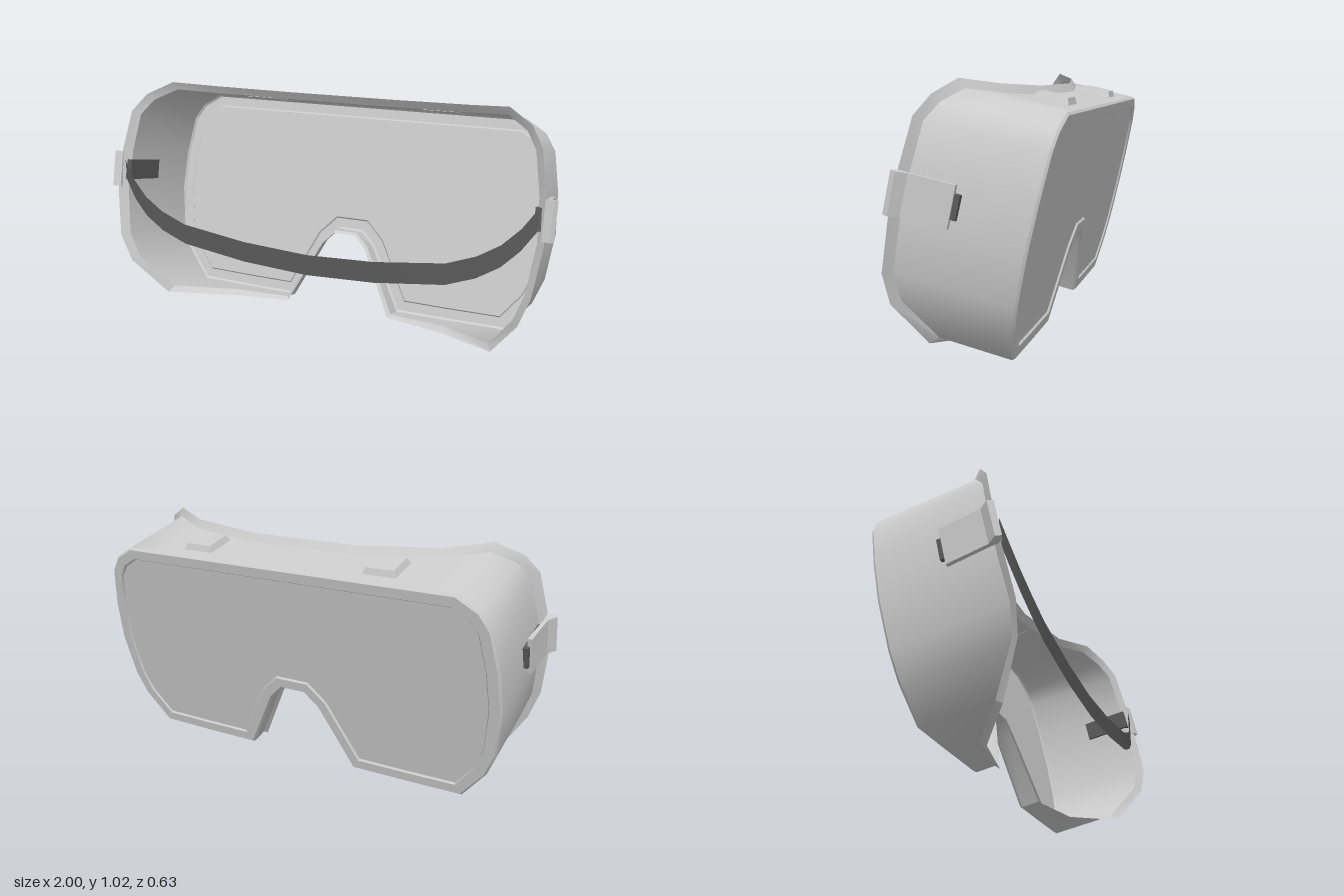
import * as THREE from 'three';
import { toCreasedNormals } from 'three/addons/utils/BufferGeometryUtils.js';

const grey = new THREE.MeshStandardMaterial({ color: 0xcccccc, side: THREE.DoubleSide });
const dark = new THREE.MeshStandardMaterial({ color: 0x5a5a5a, side: THREE.DoubleSide });

// Half outline of the goggles: x, height, wall depth, lip width
const half = [
  [0.25, 0.927, 0.21, 0.03], [0.59, 0.927, 0.28, 0.03], [0.76, 0.927, 0.385, 0.03],
  [0.85, 0.871, 0.433, 0.03], [0.895, 0.8, 0.465, 0.03], [0.925, 0.63, 0.466, 0.032],
  [0.935, 0.45, 0.466, 0.032], [0.91, 0.25, 0.465, 0.03], [0.868, 0.14, 0.43, 0.03],
  [0.76, 0.003, 0.298, 0.028], [0.51, 0, 0.13, 0.025], [0.26, 0, 0.09, 0.015],
  [0.115, 0.285, 0.075, 0.012], [0.055, 0.345, 0.075, 0.012],
];
const outline = [...half, ...half.map(([x, ...r]) => [-x, ...r]).reverse()];
const count = outline.length;

// Mitred outward normal at each outline point
const miters = outline.map((p, i) => {
  const normal = (a, b) => new THREE.Vector2(a[1] - b[1], b[0] - a[0]).normalize();
  const n1 = normal(outline[(i + count - 1) % count], p);
  const n2 = normal(p, outline[(i + 1) % count]);
  return n1.clone().add(n2).divideScalar(1 + n1.dot(n2));
});

// Closed ring with a given outward offset and depth at each point
function ring(offset, depth) {
  return outline.map((p, i) => {
    const o = offset(p);
    return [p[0] + miters[i].x * o, p[1] + miters[i].y * o, depth(p)];
  });
}

// Surface through a list of rings
function loft(rings, crease) {
  const index = [];
  for (let r = 0; r < rings.length - 1; r++) {
    for (let i = 0; i < count; i++) {
      const j = (i + 1) % count;
      const a = r * count + i, b = r * count + j;
      index.push(a, a + count, b, b, a + count, b + count);
    }
  }
  const g = new THREE.BufferGeometry();
  g.setAttribute('position', new THREE.Float32BufferAttribute(rings.flat(2), 3));
  g.setIndex(index);
  return toCreasedNormals(g, crease);
}

function add(parent, name, geometry, material = grey) {
  const mesh = new THREE.Mesh(geometry, material);
  mesh.name = name;
  parent.add(mesh);
  return mesh;
}

// Vertical ribbon of the head strap
function strapGeometry() {
  const side = [[0.3, 0.345, 0.3], [0.6, 0.385, 0.3], [0.72, 0.43, 0.295],
    [0.81, 0.485, 0.285], [0.88, 0.555, 0.27], [0.935, 0.635, 0.25]];
  const path = [...side.map(([x, y, z]) => [-x, y, z]).reverse(), [0, 0.33, 0.3], ...side];
  const pos = [], index = [];
  path.forEach(([x, y, z], i) => {
    pos.push(x, y - 0.045, z, x, y + 0.045, z);
    if (i) index.push(2 * i - 2, 2 * i, 2 * i - 1, 2 * i - 1, 2 * i, 2 * i + 1);
  });
  const g = new THREE.BufferGeometry();
  g.setAttribute('position', new THREE.Float32BufferAttribute(pos, 3));
  g.setIndex(index);
  g.computeVertexNormals();
  return g;
}

// Strap clip: thin plate flaring out past the lip
function clipGeometry() {
  const profile = [[0.958, 0.285], [0.972, 0.455], [1.0, 0.49], [0.988, 0.512],
    [0.955, 0.5], [0.955, 0.455], [0.94, 0.285]];
  const shape = new THREE.Shape(profile.map(([x, w]) => new THREE.Vector2(x, -w)));
  const g = new THREE.ExtrudeGeometry(shape, { depth: 0.158, bevelEnabled: false });
  return g.rotateX(-Math.PI / 2).translate(0, 0.466, 0);
}

export function createModel() {
  const model = new THREE.Group();
  model.name = 'goggles';

  // Frame leaning back at the top
  const frame = new THREE.Group();
  frame.name = 'frame';
  frame.rotation.x = -0.2175;
  frame.position.set(0, -0.002, -0.115);
  model.add(frame);

  // Side wall with its bevelled rim around the lens
  const wallEdge = ring(() => 0, p => p[2]);
  const wallBack = ring(() => 0, () => 0.01);
  const rimOuter = ring(() => -0.008, () => 0);
  const rimInner = ring(() => -0.05, () => 0);
  const lensEdge = ring(() => -0.056, () => 0.008);
  add(frame, 'wall', loft([wallEdge, wallBack], 0.95));
  add(frame, 'lensRim', loft([wallBack, rimOuter, rimInner, lensEdge], 0.4));

  // Flared face lip
  add(frame, 'faceLip', loft([wallEdge, ring(p => p[3], p => p[2] + p[3])], 0.5));

  // Lens
  const lensShape = new THREE.Shape(lensEdge.map(([x, y]) => new THREE.Vector2(x, y)));
  add(frame, 'lens', new THREE.ShapeGeometry(lensShape)).position.z = 0.008;

  for (const s of [1, -1]) {
    // Tapered vent cap on top
    const cap = new THREE.CylinderGeometry(0.06 * Math.SQRT2, 0.0725 * Math.SQRT2, 0.027, 4)
      .rotateY(Math.PI / 4);
    add(frame, 'ventCap', toCreasedNormals(cap, 0.2)).position.set(s * 0.428, 0.939, 0.135);

    // Clip and the strap end threaded through it
    const clip = new THREE.Group();
    clip.name = s > 0 ? 'leftClip' : 'rightClip';
    clip.scale.x = s;
    add(clip, 'clipPlate', clipGeometry());
    add(clip, 'strapEnd', new THREE.BoxGeometry(0.032, 0.09, 0.215), dark)
      .position.set(0.934, 0.545, 0.3725);
    frame.add(clip);
  }

  add(model, 'strap', strapGeometry(), dark);
  return model;
}
